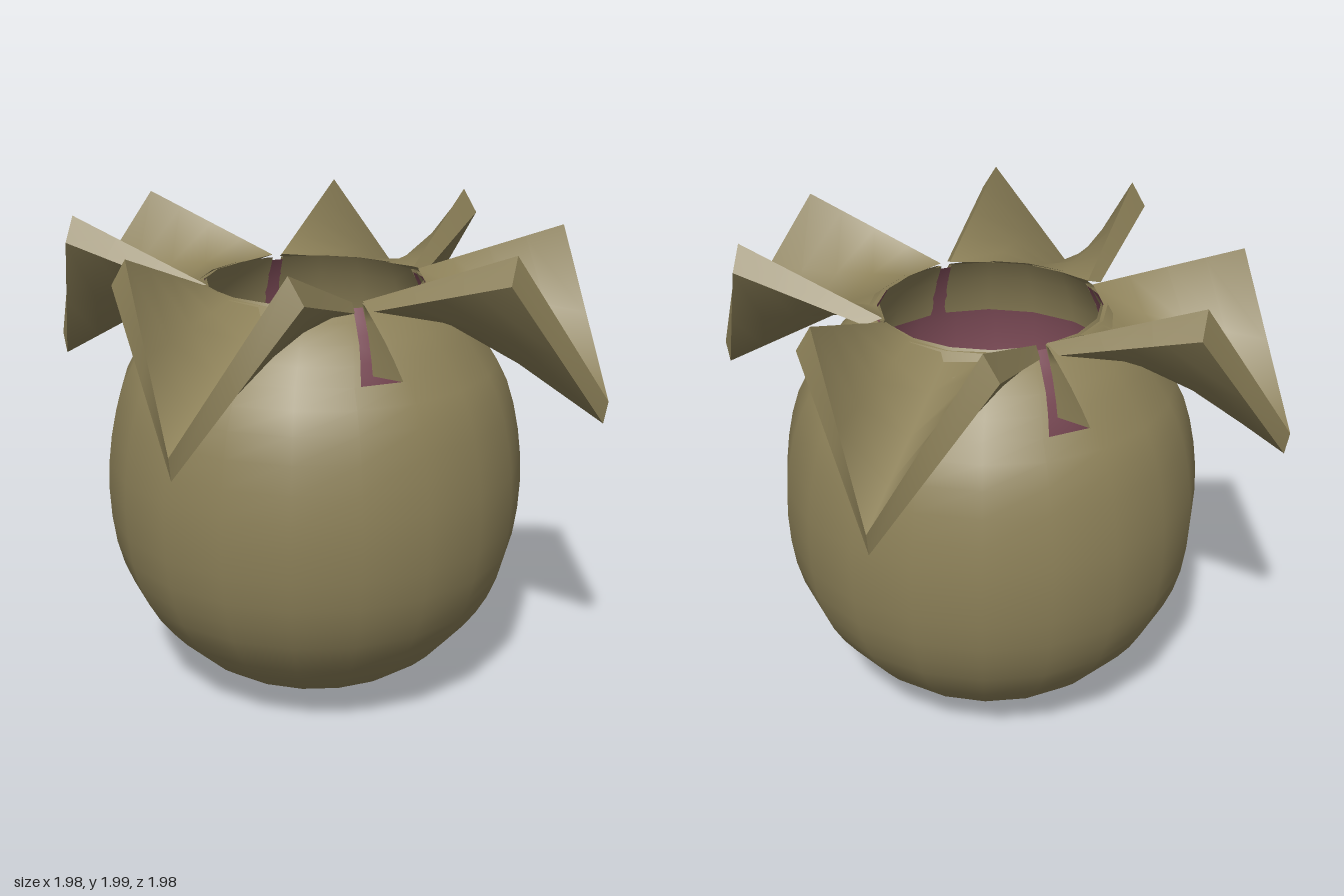
import * as THREE from 'three';
import { mergeGeometries } from 'three/addons/utils/BufferGeometryUtils.js';

const OLIVE = new THREE.MeshStandardMaterial({ color: 0x8c8058, side: THREE.DoubleSide });
const PINK = new THREE.MeshStandardMaterial({ color: 0x7e4c58, side: THREE.DoubleSide });
const { lerp, degToRad, clamp } = THREE.MathUtils;

// Point at an angle (degrees from +z towards +x), radius and height
const polar = (deg, r, y) =>
  new THREE.Vector3(r * Math.sin(degToRad(deg)), y, r * Math.cos(degToRad(deg)));

// Smooth surface from a point function f(u, v), facing du x dv
function sheet(f, nu, nv) {
  const pos = [], nor = [], idx = [], e = 1e-3;
  const c = (x) => clamp(x, 0, 1);
  for (let j = 0; j <= nv; j++) for (let i = 0; i <= nu; i++) {
    const u = i / nu, v = j / nv;
    const du = f(c(u + e), v).sub(f(c(u - e), v));
    const dv = f(u, c(v + e)).sub(f(u, c(v - e)));
    pos.push(...f(u, v).toArray());
    nor.push(...du.cross(dv).normalize().toArray());
    if (i < nu && j < nv) {
      const a = j * (nu + 1) + i, b = a + nu + 1;
      idx.push(a, a + 1, b + 1, a, b + 1, b);
    }
  }
  const g = new THREE.BufferGeometry();
  g.setAttribute('position', new THREE.Float32BufferAttribute(pos, 3));
  g.setAttribute('normal', new THREE.Float32BufferAttribute(nor, 3));
  g.setIndex(idx);
  return g;
}

// Flat band between two edge curves
const band = (f, g, n) => sheet((u, v) => f(u).lerp(g(u), v), n, 1);

function add(group, name, geometries, material) {
  const mesh = new THREE.Mesh(mergeGeometries(geometries), material);
  mesh.name = name;
  group.add(mesh);
}

// Outer profile (radius, height); the slits begin at its eleventh point
const outerProfile = new THREE.SplineCurve([[0.002, 0.01], [0.2, 0.032], [0.4, 0.106],
  [0.55, 0.2], [0.68, 0.335], [0.78, 0.49], [0.843, 0.68], [0.865, 0.92], [0.845, 1.15],
  [0.79, 1.36], [0.7, 1.515], [0.6, 1.645], [0.465, 1.755]].map(([x, y]) => new THREE.Vector2(x, y)));
const SLIT = 10 / 12;

// Radius of the inner pod at a height
const POD = { r: 0.565, h: 0.7, y: 1.33 };
const podRadius = (y) => POD.r * Math.sqrt(1 - ((y - POD.y) / POD.h) ** 2);

// Column spacing that lines the upper shell up with the lower shell's sides
const COLUMNS = [-1, -36 / 38, -18 / 38, 0, 18 / 38, 36 / 38, 1];
function column(u) {
  const k = Math.min(5, Math.floor(u * 6));
  return lerp(COLUMNS[k], COLUMNS[k + 1], u * 6 - k);
}

// Shell quarter surfaces, t = -1..1 across and s = 0..1 upwards
const outer = (t, s) => {
  const p = outerProfile.getPoint(lerp(SLIT, 1, s));
  return polar(t * (45 - lerp(7, 3, s)), p.x, p.y);
};
const inner = (t, s) => {
  const y = lerp(1.5, 1.76, s);
  return polar(t * (45 - 3), podRadius(y) - 0.006, y);
};

// Petal surfaces, t = -1..1 across and v = 0..1 from rim to outer edge
function petalSurface(rim, cornerDeg, cornerR, cornerY, tip) {
  return (t, v) => {
    const start = polar(t * rim.deg, rim.r, rim.y - rim.dip * (1 - t * t));
    const corner = polar(Math.sign(t) * cornerDeg, cornerR, cornerY);
    return start.lerp(tip.clone().lerp(corner, Math.abs(t)), v);
  };
}
const petalTop = petalSurface({ deg: 42.3, r: 0.45, y: 1.77, dip: 0.02 }, 18.7, 0.984, 2.0,
  new THREE.Vector3(0, 1.4, 1.225));
const petalBottom = petalSurface({ deg: 40.8, r: 0.52, y: 1.745, dip: 0.04 }, 22, 1.005, 1.9,
  new THREE.Vector3(0, 1.31, 1.21));

function quarter() {
  const group = new THREE.Group();
  const across = (u) => u * 2 - 1;

  // Upper shell wall with the cut faces beside the slits
  add(group, 'upperShell', [
    sheet((u, v) => outer(column(u), v), 6, 4),
    sheet((u, v) => inner(-across(u), v), 4, 3),
    band((u) => outer(1, u), (u) => inner(1, u), 4),
    band((u) => inner(-1, u), (u) => outer(-1, u), 4),
  ], OLIVE);

  // Thick folded petal, lowest along its middle
  const edge = (a, b) => band((u) => petalBottom(lerp(a, b, u), 1), (u) => petalTop(lerp(a, b, u), 1), 2);
  add(group, 'petal', [
    sheet((u, v) => petalTop(across(u), 1 - v), 4, 4),
    sheet((u, v) => petalBottom(across(u), v), 4, 4),
    edge(-1, -1e-6),
    edge(1e-6, 1),
    band((u) => petalBottom(-1, u), (u) => petalTop(-1, u), 3),
    band((u) => petalTop(1, u), (u) => petalBottom(1, u), 3),
    band((u) => petalTop(across(u), 0), (u) => petalBottom(across(u), 0), 4),
  ], OLIVE);
  return group;
}

export function createModel() {
  const model = new THREE.Group();
  model.name = 'openEgg';

  // Closed lower part of the shell
  add(model, 'lowerShell', [sheet((u, v) => {
    const p = outerProfile.getPoint(v * SLIT);
    return polar(u * 360, p.x, p.y);
  }, 20, 20)], OLIVE);

  // Inner pod, open at the top and visible through the slits
  add(model, 'innerPod', [sheet((u, v) => {
    const a = degToRad(lerp(-89.5, 36.5, v));
    return polar(-u * 360, POD.r * Math.cos(a), POD.y + POD.h * Math.sin(a));
  }, 20, 14)], PINK);

  // Four identical quarters around the opening
  for (let i = 0; i < 4; i++) {
    const q = quarter();
    q.name = 'quarter' + (i + 1);
    q.rotation.y = degToRad(54 + i * 90);
    model.add(q);
  }
  return model;
}
